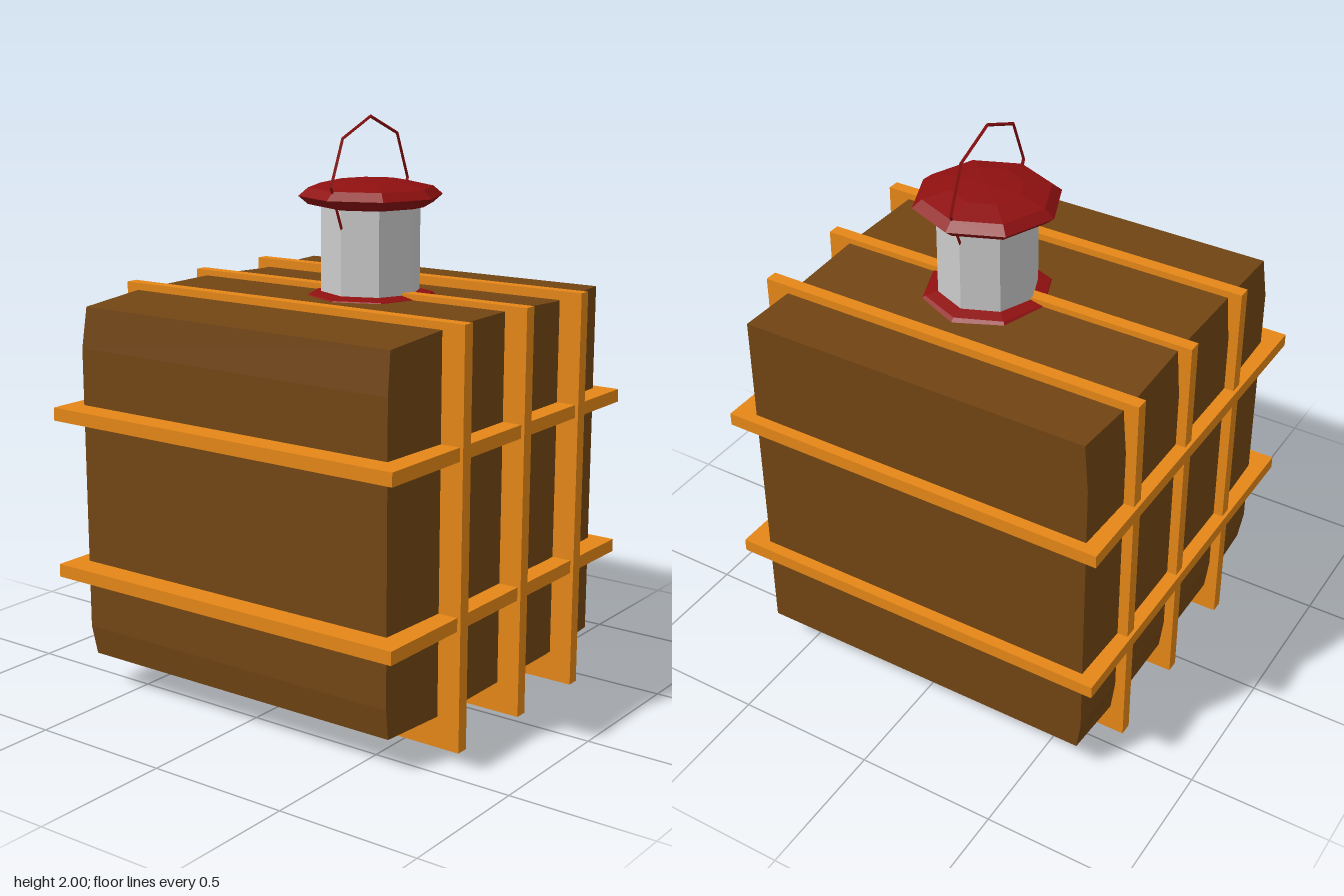
import * as THREE from 'three';

const material = (color) => new THREE.MeshStandardMaterial({ color, flatShading: true });

// Linear interpolation through [position, value] pairs
function along(points, t) {
  for (let i = 1; i < points.length; i++) {
    const [a, va] = points[i - 1], [b, vb] = points[i];
    if (t <= b + 1e-6) return va + (vb - va) * (t - a) / (b - a);
  }
  return points[points.length - 1][1];
}

// Lumpy bale: a segmented box with sagging top and slightly tucked-in edges
function baleGeometry() {
  const xs = [-0.614, -0.33, 0.055, 0.36, 0.663];
  const ys = [0.105, 0.22, 1.22, 1.39];
  const top = [[-0.614, 1.363], [-0.33, 1.385], [0.055, 1.39], [0.36, 1.377], [0.663, 1.39]];
  const bottom = [[-0.614, 0.118], [-0.33, 0.107], [0.36, 0.105], [0.663, 0.115]];
  const front = [[-0.614, 0.618], [-0.33, 0.627], [0.36, 0.627], [0.663, 0.617]];
  const back = [[-0.614, -0.655], [-0.33, -0.665], [0.36, -0.665], [0.663, -0.655]];
  const geometry = new THREE.BoxGeometry(1, 1, 1, 4, 3, 1);
  const p = geometry.attributes.position;
  for (let i = 0; i < p.count; i++) {
    const column = Math.round((p.getX(i) + 0.5) * 4);
    const row = Math.round((p.getY(i) + 0.5) * 3);
    const isFront = p.getZ(i) > 0, isEnd = row === 0 || row === 3;
    let x = xs[column], y = ys[row];
    let z = along(isFront ? front : back, x);
    if (row === 3) y = along(top, x);
    if (row === 0) y = along(bottom, x);
    if (isEnd && !isFront) z += 0.014;
    if (isEnd && column === 0) x += 0.012;
    p.setXYZ(i, x, y, z);
  }
  geometry.computeVertexNormals();
  return geometry;
}

export function createModel() {
  const group = new THREE.Group();
  const brown = material(0x724513);
  const orange = material(0xe58717);
  const red = material(0x8f1010);
  const grey = material(0xcccccc);

  function add(parent, name, geometry, mat, x = 0, y = 0, z = 0) {
    const mesh = new THREE.Mesh(geometry, mat);
    mesh.name = name;
    mesh.position.set(x, y, z);
    parent.add(mesh);
    return mesh;
  }

  add(group, 'bale', baleGeometry(), brown);

  // Slats passing right through the bale
  for (const x of [-0.314, 0.055, 0.413])
    add(group, 'verticalSlat', new THREE.BoxGeometry(0.045, 1.41, 1.41), orange, x, 0.705, 0.005);
  for (const y of [0.438, 0.998])
    add(group, 'horizontalSlat', new THREE.BoxGeometry(1.406, 0.046, 1.41), orange, 0, y, -0.007);

  // Eight-sided lantern standing on the bale
  const lantern = new THREE.Group();
  lantern.name = 'lantern';
  lantern.position.set(0.07, 0, 0.062);
  group.add(lantern);

  const disc = new THREE.SphereGeometry(0.25, 8, 6).scale(1, 0.225, 1);
  add(lantern, 'lanternBase', disc, red, 0, 1.363, 0);
  add(lantern, 'lanternRoof', disc, red, 0, 1.729, 0);
  add(lantern, 'lanternGlass', new THREE.CylinderGeometry(0.172, 0.172, 0.34, 8), grey, 0, 1.55, 0);
  add(lantern, 'lanternHandle', new THREE.TorusGeometry(0.223, 0.006, 4, 8), red, -0.004, 1.771, 0);

  return group;
}
